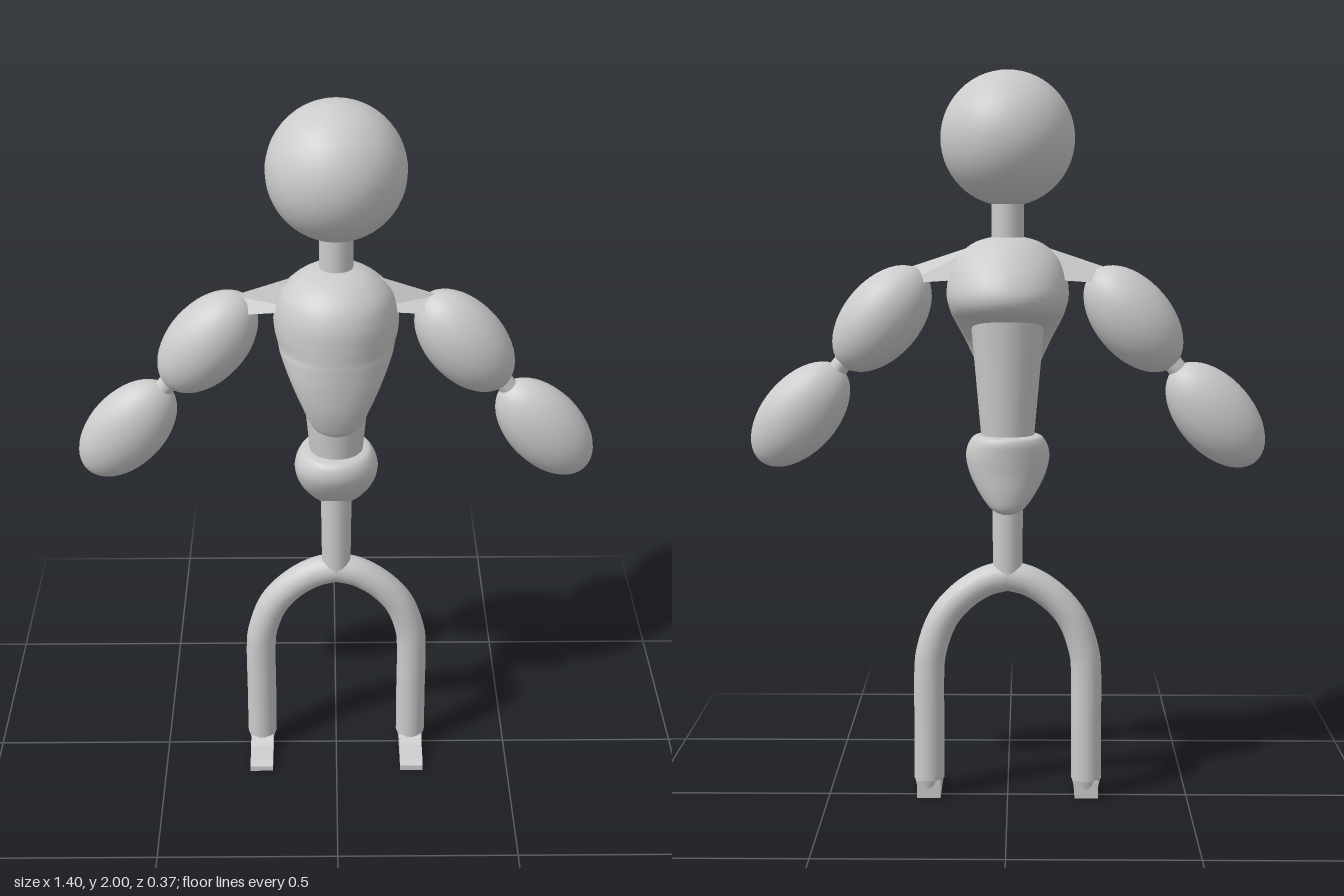
import * as THREE from 'three';

const mat = new THREE.MeshStandardMaterial({ color: 0xcccccc });
const V = (x, y, z = 0) => new THREE.Vector3(x, y, z);

function add(parent, name, geo, x = 0, y = 0, z = 0) {
  const m = new THREE.Mesh(geo, mat);
  m.name = name;
  m.position.set(x, y, z);
  parent.add(m);
  return m;
}

// Smooth body from elliptical rings, top to bottom: [y, half width, front z, back z]
function loft(rows, steps = 40, seg = 32) {
  const shape = new THREE.SplineCurve(rows.map(r => new THREE.Vector2(r[0], r[1])));
  const depth = new THREE.SplineCurve(rows.map(r => new THREE.Vector2(r[2], r[3])));
  const pos = [], idx = [];
  for (let i = 0; i <= steps; i++) {
    const s = shape.getPoint(i / steps), d = depth.getPoint(i / steps);
    for (let j = 0; j < seg; j++) {
      const a = j / seg * Math.PI * 2;
      pos.push(s.y * Math.cos(a), s.x, (d.x + d.y) / 2 + (d.x - d.y) / 2 * Math.sin(a));
      if (i < steps) {
        const p = i * seg + j, q = i * seg + (j + 1) % seg;
        idx.push(p, q, p + seg, q, q + seg, p + seg);
      }
    }
  }
  const g = new THREE.BufferGeometry();
  g.setAttribute('position', new THREE.Float32BufferAttribute(pos, 3));
  g.setIndex(idx);
  g.computeVertexNormals();
  return g;
}

// Ellipsoid with its long axis tilted in the front plane
function ellipsoid(a, b, c, tilt) {
  return new THREE.SphereGeometry(1, 32, 24).rotateZ(Math.PI / 2).scale(a, b, c).rotateZ(tilt);
}

// Triangular shoulder wedge tapering from the chest out to the arm
function shoulderWedge(s) {
  const ends = [
    [V(0.06, 1.545), V(0.06, 1.45, 0.04), V(0.06, 1.45, -0.05)],
    [V(0.27, 1.475), V(0.27, 1.435, 0.035), V(0.27, 1.435, -0.045)]
  ];
  const pts = [];
  const tri = (a, b, c) => (s > 0 ? [a, b, c] : [a, c, b]).forEach(p => pts.push(p.x * s, p.y, p.z));
  const [A, B] = ends;
  for (let i = 0; i < 3; i++) {
    const j = (i + 1) % 3;
    tri(A[i], A[j], B[i]);
    tri(A[j], B[j], B[i]);
  }
  tri(A[0], A[2], A[1]);
  tri(B[0], B[1], B[2]);
  const g = new THREE.BufferGeometry();
  g.setAttribute('position', new THREE.Float32BufferAttribute(pts, 3));
  g.computeVertexNormals();
  return g;
}

// Side profile of the foot, toe towards +z
function footGeometry() {
  const s = new THREE.Shape();
  s.moveTo(-0.035, 0);
  s.lineTo(0.135, 0);
  s.lineTo(0.135, 0.016);
  s.lineTo(0.115, 0.024);
  s.lineTo(0.06, 0.032);
  s.lineTo(0.035, 0.05);
  s.lineTo(-0.035, 0.05);
  s.closePath();
  return new THREE.ExtrudeGeometry(s, { depth: 0.066, bevelEnabled: false })
    .translate(0, 0, -0.033).rotateY(-Math.PI / 2);
}

export function createModel() {
  const g = new THREE.Group();
  g.name = 'figure';

  // Head and neck
  add(g, 'head', new THREE.SphereGeometry(0.18, 40, 28), 0, 1.82);
  add(g, 'neck', new THREE.CylinderGeometry(0.044, 0.044, 0.2, 24), 0, 1.58);

  // Torso
  add(g, 'chest', loft([
    [1.56, 0, 0.0, 0.0], [1.557, 0.045, 0.05, -0.045], [1.54, 0.095, 0.11, -0.085],
    [1.5, 0.14, 0.155, -0.13], [1.45, 0.16, 0.176, -0.168], [1.4, 0.165, 0.18, -0.186],
    [1.36, 0.156, 0.18, -0.165], [1.335, 0.148, 0.18, -0.1], [1.28, 0.122, 0.178, 0.01],
    [1.21, 0.09, 0.17, 0.065], [1.15, 0.06, 0.152, 0.095], [1.13, 0.025, 0.14, 0.115],
    [1.128, 0, 0.128, 0.128]
  ], 48));
  add(g, 'waist', new THREE.CylinderGeometry(0.102, 0.07, 0.36, 28), 0, 1.17);
  add(g, 'pelvis', loft([
    [1.02, 0, 0, 0], [1.022, 0.075, 0.075, -0.09], [1.01, 0.1, 0.105, -0.11],
    [0.97, 0.114, 0.11, -0.108], [0.92, 0.105, 0.085, -0.102], [0.87, 0.08, 0.04, -0.098],
    [0.83, 0.05, -0.01, -0.09], [0.812, 0.022, -0.04, -0.075], [0.81, 0, -0.058, -0.058]
  ]));
  add(g, 'pelvisPost', new THREE.CylinderGeometry(0.043, 0.04, 0.28, 24), 0, 0.76);

  for (const s of [1, -1]) {
    const side = s > 0 ? 'left' : 'right';

    // Arm
    const arm = new THREE.Group();
    arm.name = side + 'Arm';
    g.add(arm);
    add(arm, 'shoulder', shoulderWedge(s));
    add(arm, 'upperArm', ellipsoid(0.168, 0.105, 0.1, -0.86 * s), 0.34 * s, 1.338, -0.008);
    add(arm, 'elbow', new THREE.CylinderGeometry(0.026, 0.026, 0.11, 16).rotateZ(0.68 * s), 0.452 * s, 1.213, -0.008);
    add(arm, 'forearm', ellipsoid(0.17, 0.103, 0.083, -0.85 * s), 0.565 * s, 1.077, -0.008);

    // Leg
    const leg = new THREE.Group();
    leg.name = side + 'Leg';
    g.add(leg);
    const path = new THREE.CatmullRomCurve3([
      V(0, 0.628), V(0.06 * s, 0.612), V(0.125 * s, 0.57), V(0.18 * s, 0.505),
      V(0.213 * s, 0.41), V(0.218 * s, 0.36), V(0.219 * s, 0.2), V(0.22 * s, 0.05)
    ]);
    add(leg, 'legTube', new THREE.TubeGeometry(path, 48, 0.042, 20));
    add(leg, 'ankle', new THREE.CylinderGeometry(0.042, 0.035, 0.03, 20), 0.22 * s, 0.04);
    add(leg, 'foot', footGeometry(), 0.22 * s);
  }
  return g;
}
